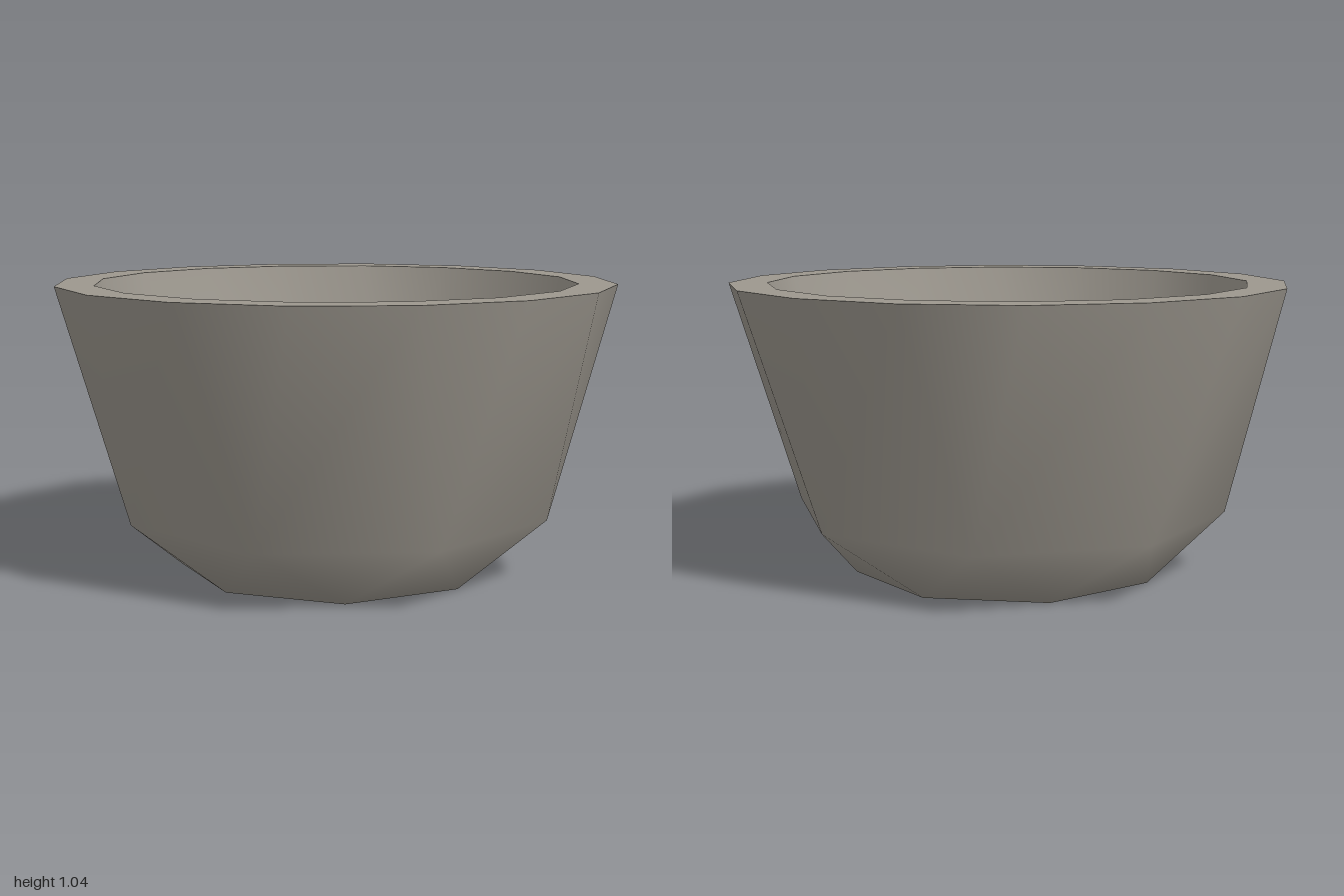
import * as THREE from 'three';

const HEIGHT = 1.037;
const STEP = Math.PI / 8;

// ring of points about the y axis; offset is in sixteenths of a turn
function ring(count, radius, y, offset = 0) {
  const points = [];
  for (let k = 0; k < count; k++) {
    const a = offset * STEP + (k * 2 * Math.PI) / count;
    points.push(new THREE.Vector3(Math.sin(a) * radius, y, Math.cos(a) * radius));
  }
  return points;
}

function build(name, points, faces, material) {
  const geometry = new THREE.BufferGeometry().setFromPoints(points);
  geometry.setIndex(faces.flat());
  geometry.computeVertexNormals();
  const mesh = new THREE.Mesh(geometry, material);
  mesh.name = name;
  return mesh;
}

// smooth shell: eight-sided base and shoulder (twisted half a side), sixteen-sided rim
function shell(name, base, shoulder, rimRadius, inward, material) {
  const points = [
    new THREE.Vector3(0, base.y, 0),
    ...ring(8, base.r, base.y, 0.5),
    ...ring(8, shoulder.r, shoulder.y, 1.5),
    ...ring(16, rimRadius, HEIGHT),
  ];
  const B = (k) => 1 + (k % 8);
  const M = (k) => 9 + (k % 8);
  const R = (j) => 17 + (j % 16);
  let faces = [];
  for (let k = 0; k < 8; k++) {
    faces.push(
      [0, B(k + 1), B(k)],
      [B(k), B(k + 1), M(k)],
      [B(k + 1), M(k + 1), M(k)],
      [M(k), R(2 * k + 2), R(2 * k + 1)],
      [M(k), M(k + 1), R(2 * k + 3)],
      [M(k), R(2 * k + 3), R(2 * k + 2)],
    );
  }
  if (inward) faces = faces.map(([a, b, c]) => [a, c, b]);
  return build(name, points, faces, material);
}

export function createModel() {
  const clay = new THREE.MeshStandardMaterial({ color: 0x9c978e });
  clay.name = 'warm grey clay';

  const bowl = new THREE.Group();
  bowl.name = 'bowl';

  // outside and inside walls
  bowl.add(shell('outerWall', { r: 0.566, y: 0 }, { r: 0.787, y: 0.217 }, 1, false, clay));
  bowl.add(shell('innerWall', { r: 0.49, y: 0.13 }, { r: 0.67, y: 0.29 }, 0.863, true, clay));

  // flat rim joining the walls
  const faces = [];
  for (let j = 0; j < 16; j++) {
    const n = (j + 1) % 16;
    faces.push([j, n, 16 + n], [j, 16 + n, 16 + j]);
  }
  bowl.add(build('rim', [...ring(16, 1, HEIGHT), ...ring(16, 0.863, HEIGHT)], faces, clay));

  return bowl;
}
